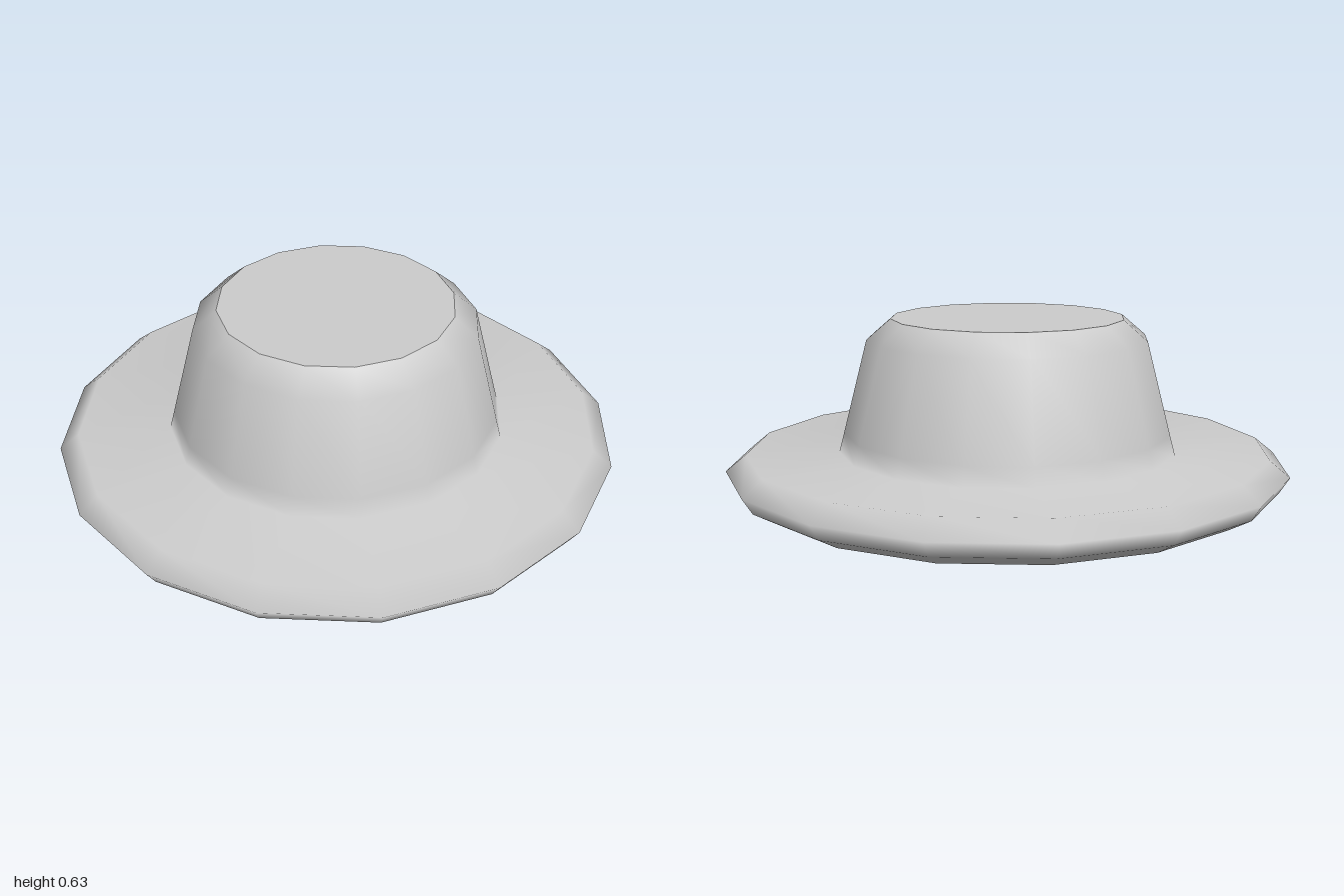
import * as THREE from 'three';

const SIDES = 16;

export function createModel() {
  const model = new THREE.Group();
  const grey = new THREE.MeshStandardMaterial({ color: 0xcccccc });
  grey.name = 'lightGrey';

  const add = (name, geometry) => {
    const mesh = new THREE.Mesh(geometry, grey);
    mesh.name = name;
    model.add(mesh);
    return mesh;
  };

  // Brim edge, brim top and tapered crown as one smooth turned shell
  const profile = [
    [0.885, 0], [0.965, 0.045], [1, 0.1], [0.93, 0.157],
    [0.603, 0.157], [0.585, 0.225], [0.5, 0.555], [0.415, 0.628],
  ].map(([r, y]) => new THREE.Vector2(r, y));
  add('brimAndCrown', new THREE.LatheGeometry(profile, SIDES));

  // Flat caps with crisp edges
  const crownTop = add('crownTop', new THREE.CircleGeometry(0.415, SIDES));
  crownTop.rotation.x = -Math.PI / 2;
  crownTop.position.y = 0.628;

  const underside = add('underside', new THREE.CircleGeometry(0.885, SIDES));
  underside.rotation.x = Math.PI / 2;

  return model;
}
